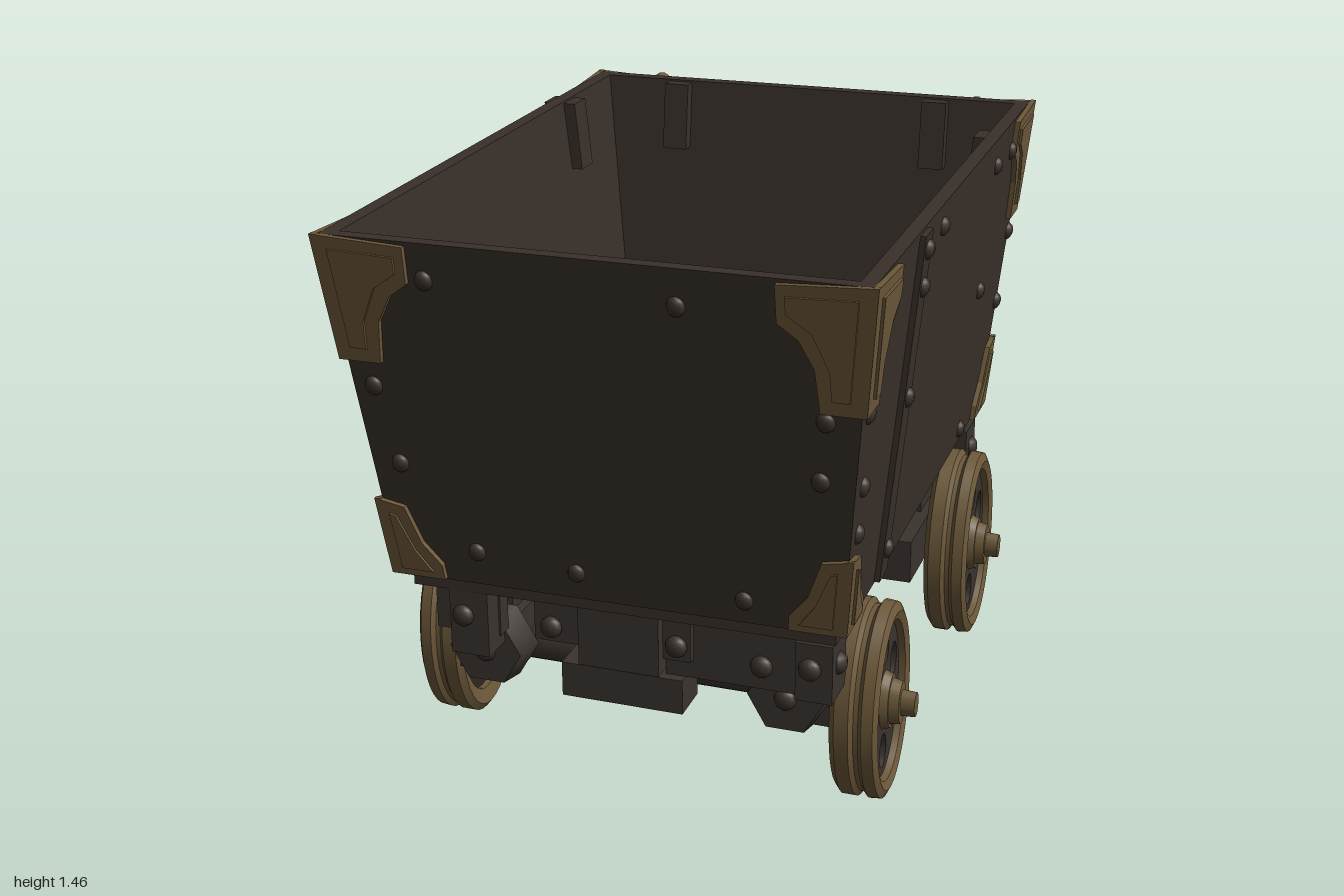
import * as THREE from 'three';
import { toCreasedNormals } from 'three/addons/utils/BufferGeometryUtils.js';

const mat = (name, color) => {
  const m = new THREE.MeshStandardMaterial({ color });
  m.name = name;
  return m;
};

export function createModel() {
  const root = new THREE.Group();
  root.name = 'mineCart';
  const iron = mat('binIron', 0x39302a);
  const frame = mat('chassisIron', 0x3b342f);
  const dark = mat('darkIron', 0x2c2621);
  const brass = mat('agedBrass', 0x6d593a);
  const dull = mat('dullBrass', 0x463a2b);

  const add = (name, geo, m, parent = root) => {
    const mesh = new THREE.Mesh(geo, m);
    mesh.name = name;
    parent.add(mesh);
    return mesh;
  };
  const box = (name, x0, x1, y0, y1, z0, z1, m = frame) => {
    const mesh = add(name, new THREE.BoxGeometry(x1 - x0, y1 - y0, z1 - z0), m);
    mesh.position.set((x0 + x1) / 2, (y0 + y1) / 2, (z0 + z1) / 2);
    return mesh;
  };

  // The bin sits slightly askew on the chassis
  const bin = new THREE.Group();
  bin.name = 'bin';
  bin.rotation.y = 0.012;
  bin.position.x = -0.006;
  root.add(bin);

  // Sloping walls: distance of each wall from the centre at height y
  const Y0 = 0.57, Y1 = 1.46;
  const slope = (a, b) => y => a + (b - a) * (y - Y0) / (Y1 - Y0);
  const sideX = slope(0.55, 0.637), frontZ = slope(0.84, 0.975), backZ = slope(0.68, 0.793);
  // Each wall: turn about y, its distance, and the corner lines at its -u and +u ends
  const walls = {
    front: { turn: 0, out: frontZ, lo: sideX, hi: sideX },
    back: { turn: Math.PI, out: backZ, lo: sideX, hi: sideX },
    left: { turn: Math.PI / 2, out: sideX, lo: frontZ, hi: backZ },
    right: { turn: -Math.PI / 2, out: sideX, lo: backZ, hi: frontZ },
  };
  // Lay a geometry given in (u, y, depth) onto a wall
  const onWall = (name, wall, geo, m) => {
    const p = geo.attributes.position;
    for (let i = 0; i < p.count; i++) p.setZ(i, p.getZ(i) + wall.out(p.getY(i)));
    geo.rotateY(wall.turn);
    geo.computeVertexNormals();
    add(name, geo, m, bin);
  };
  const plate = (name, wall, u, w, y0, y1, d0, d1) => {
    const g = new THREE.BoxGeometry(w, y1 - y0, d1 - d0);
    g.translate(u, (y0 + y1) / 2, (d0 + d1) / 2);
    onWall(name, wall, g, iron);
  };
  const rivet = (wall, u, y, d = 0) => {
    const g = new THREE.SphereGeometry(0.022, 10, 8);
    g.scale(1, 1.1, 0.75);
    g.translate(u, y, d);
    onWall('rivet', wall, g, iron);
  };

  // Bin shell: rectangular loops joined from outer foot, over the rim, to inner foot
  const loop = (y, x, zf, zb) => [[-x, y, zf], [x, y, zf], [x, y, -zb], [-x, y, -zb]];
  const loops = [
    loop(0.54, 0.53, 0.815, 0.665), loop(0.575, 0.53, 0.815, 0.665),
    loop(0.58, sideX(0.58), frontZ(0.58), backZ(0.58)), loop(Y1, sideX(Y1), frontZ(Y1), backZ(Y1)),
    loop(Y1, 0.6, 0.94, 0.755), loop(0.54, 0.495, 0.77, 0.645),
  ];
  const pos = [];
  loops.forEach((a, i) => {
    const b = loops[(i + 1) % loops.length];
    for (let k = 0; k < 4; k++) {
      const n = (k + 1) % 4;
      pos.push(...a[k], ...a[n], ...b[n], ...a[k], ...b[n], ...b[k]);
    }
  });
  const shell = new THREE.BufferGeometry();
  shell.setAttribute('position', new THREE.Float32BufferAttribute(pos, 3));
  shell.computeVertexNormals();
  add('binShell', shell, iron, bin);
  box('binFloor', -0.41, 0.41, 0.54, 0.565, -0.55, 0.58);
  // Worn brass-coloured patch on the floor
  box('wornPatch', 0.355, 0.405, 0.564, 0.567, 0.14, 0.27, brass);
  box('wornPatch', 0.38, 0.41, 0.564, 0.567, 0.27, 0.58, brass);

  // Corner brackets with a concave inner edge, at the ends of every wall
  const bracket = (wall, s, top) => {
    const edge = s > 0 ? wall.hi : wall.lo;
    const P = (inset, y) => [s * (edge(y) - inset), y];
    const pts = top
      ? [[-0.014, 1.462], [0.21, 1.45], [0.2, 1.36], [0.15, 1.325], [0.11, 1.26], [0.09, 1.155], [-0.014, 1.155]]
      : [[-0.014, 0.585], [0.125, 0.585], [0.125, 0.625], [0.085, 0.68], [0.06, 0.775], [-0.014, 0.79]];
    const trim = top
      ? [[0.025, 1.43], [0.185, 1.425], [0.18, 1.385], [0.12, 1.345], [0.075, 1.26], [0.065, 1.19], [0.025, 1.19]]
      : [[0.02, 0.605], [0.1, 0.605], [0.065, 0.66], [0.035, 0.75], [0.02, 0.755]];
    [[pts, 0.014, 'cornerBracket'], [trim, 0.021, 'bracketRib']].forEach(([list, depth, name]) => {
      const shape = new THREE.Shape(list.map(q => new THREE.Vector2(...P(...q))));
      onWall(name, wall, new THREE.ExtrudeGeometry(shape, { depth, bevelEnabled: false }), brass);
    });
  };
  for (const wall of Object.values(walls))
    for (const s of [-1, 1]) for (const top of [true, false]) bracket(wall, s, top);

  // Straps and rim clips
  plate('frontStrap', walls.left, -0.515, 0.075, 0.585, 1.45, -0.01, 0.014);
  plate('frontStrap', walls.right, 0.54, 0.07, 0.585, 1.45, -0.01, 0.014);
  plate('rearStrap', walls.right, -0.41, 0.07, 0.585, 1.45, -0.01, 0.014);
  plate('sideClip', walls.left, 0.4, 0.08, 1.27, 1.455, -0.07, -0.005);
  plate('sideClip', walls.right, -0.43, 0.08, 1.27, 1.455, -0.07, 0.02);
  for (const s of [-1, 1]) {
    plate('backStrap', walls.back, s * 0.4, 0.09, 0.56, 1.12, -0.01, 0.02);
    plate('backClip', walls.back, s * 0.38, 0.07, 1.27, 1.455, -0.075, 0.01);
    for (const y of [0.66, 0.85, 1.08]) rivet(walls.back, s * 0.4, y, 0.02);
  }

  // Rivets on the walls
  [[-0.39, 1.37], [0.2, 1.37], [-0.55, 1.09], [-0.51, 0.89], [-0.34, 0.67], [-0.09, 0.65], [0.32, 0.64],
    [0.51, 0.98], [0.525, 1.13]].forEach(([u, y]) => rivet(walls.front, u, y));
  [[0.2, 1.37], [-0.2, 1.37], [0.53, 1.09], [-0.53, 1.09], [0.5, 0.9], [-0.5, 0.9]]
    .forEach(([u, y]) => rivet(walls.back, u, y));
  [[0.78, 1.38], [0.29, 1.4], [-0.37, 1.38], [-0.58, 1.37], [-0.38, 1.03], [-0.39, 0.62], [0.87, 1.14], [0.83, 0.95],
    [0.82, 0.83], [-0.73, 1.1], [-0.7, 0.9]].forEach(([z, y]) => {
    rivet(walls.right, z, y);
    rivet(walls.left, -z, y);
  });
  for (const y of [0.66, 1.05, 1.32, 1.41]) {
    rivet(walls.right, 0.54, y, 0.014);
    rivet(walls.left, -0.515, y, 0.014);
  }

  // Push handle
  const rod = add('handleRod', new THREE.CylinderGeometry(0.028, 0.028, 0.97, 14), dull);
  rod.rotation.set(0, -0.015, Math.PI / 2, 'YXZ');
  rod.position.set(-0.045, 1.37, -0.95);
  for (const [x, z, foot] of [[-0.53, -0.957, -0.45], [0.44, -0.943, 0.36]]) {
    const knob = add('handleKnob', new THREE.SphereGeometry(0.05, 16, 12), brass);
    knob.scale.set(0.7, 1.2, 0.9);
    knob.position.set(x, 1.37, z);
    const cap = add('handleCap', new THREE.CylinderGeometry(0.03, 0.03, 0.1, 12), brass);
    cap.rotation.z = Math.PI / 2;
    cap.position.copy(knob.position);
    const path = new THREE.CatmullRomCurve3([[x, 1.36, z], [x * 0.97, 1.24, -0.94],
      [(x + foot) / 2, 1.14, -0.885], [foot, 1.09, -0.82], [foot, 1.08, -0.74]].map(p => new THREE.Vector3(...p)));
    add('handleArm', new THREE.TubeGeometry(path, 20, 0.022, 8), brass);
    const boss = add('handleBoss', new THREE.SphereGeometry(0.04, 12, 10), brass);
    boss.position.set(foot, 1.08, -0.765);
  }

  // Wheels: brass double rim, pierced disc, backing plate and hub, axis along local y
  const rimPts = [[0.2, 0.01], [0.24, 0], [0.26, 0.015], [0.26, 0.05], [0.246, 0.06], [0.246, 0.072], [0.26, 0.082],
    [0.257, 0.11], [0.235, 0.12], [0.212, 0.112], [0.203, 0.06], [0.2, 0.01]].map(p => new THREE.Vector2(...p));
  const rimGeo = toCreasedNormals(new THREE.LatheGeometry(rimPts, 40), 0.7);
  const disc = new THREE.Shape().absarc(0, 0, 0.21, 0, Math.PI * 2);
  for (let i = 0; i < 6; i++) {
    const a = i * Math.PI / 3;
    disc.holes.push(new THREE.Path().absarc(0.142 * Math.cos(a), 0.142 * Math.sin(a), 0.046, 0, Math.PI * 2, true));
  }
  const discGeo = new THREE.ExtrudeGeometry(disc, { depth: 0.04, bevelEnabled: false, curveSegments: 20 });
  discGeo.rotateX(-Math.PI / 2);
  const wheel = (name, s, z, y, size, squash) => {
    const g = new THREE.Group();
    g.name = name;
    add('rim', rimGeo, brass, g);
    add('disc', discGeo, frame, g).position.y = 0.055;
    add('backing', new THREE.CylinderGeometry(0.203, 0.203, 0.025, 32), dark, g).position.y = 0.04;
    [[0.078, 0.02, 0.105], [0.062, 0.03, 0.125], [0.036, 0.06, 0.145]].forEach(([r, h, at]) =>
      add('hub', new THREE.CylinderGeometry(r * 0.9, r, h, 20), brass, g).position.y = at);
    g.rotation.z = -s * Math.PI / 2;
    g.scale.set(size, 1, size * squash);
    g.position.set(s * 0.495, y, z);
    root.add(g);
  };
  wheel('frontLeftWheel', 1, 0.56, 0.28, 1, 0.66);
  wheel('frontRightWheel', -1, 0.485, 0.29, 1, 0.66);
  wheel('backLeftWheel', 1, -0.41, 0.275, 1.04, 0.69);
  wheel('backRightWheel', -1, -0.465, 0.285, 1.02, 0.7);

  // Axles with bearing boxes, hexagonal bosses and bolts
  const bolt = (x, y, z, axis) => {
    const b = add('bolt', new THREE.SphereGeometry(0.028, 10, 8), iron);
    b.scale[axis] = 0.75;
    b.position.set(x, y, z);
  };
  for (const [z, e, z0, z1, low, high] of [[0.52, 1, 0.27, 0.68, 0.25, 0.4], [-0.43, -1, -0.6, -0.12, 0.265, 0.385]]) {
    const axle = add('axle', new THREE.CylinderGeometry(0.058, 0.058, 1.04, 16), frame);
    axle.rotation.z = Math.PI / 2;
    axle.position.set(0, 0.282, z);
    for (const s of [-1, 1]) {
      const x = s * 0.41;
      box('bearingBox', x - 0.075, x + 0.075, low, high, z0, z1);
      box('bearingPost', x - 0.05, x + 0.05, 0.38, 0.53, z - 0.1, z + 0.1);
      const hex = add('hexBoss', new THREE.CylinderGeometry(0.095, 0.11, 0.08, 6), frame);
      hex.rotation.set(e * Math.PI / 2, Math.PI / 6, 0);
      hex.position.set(x * 0.95, 0.335, z + e * 0.17);
      bolt(x * 0.95, 0.335, z + e * 0.21, 'z');
    }
  }

  // End beams with coupling block, lower step and corner blocks
  for (const [z, e] of [[0.735, 1], [-0.605, -1]]) {
    const span = (name, x0, x1, y0, y1, a, b) =>
      box(name, x0, x1, y0, y1, Math.min(z + e * a, z + e * b), Math.max(z + e * a, z + e * b));
    span('endBeam', 0.1, 0.5, 0.37, 0.525, -0.02, 0.025);
    span('endBeam', -0.5, -0.33, 0.4, 0.525, -0.02, 0.025);
    span('crossBar', -0.5, 0.5, 0.542, 0.57, -0.025, 0.022);
    span('couplingPlate', -0.23, 0.17, 0.42, 0.525, -0.03, 0.045);
    span('couplingBlock', -0.105, 0.1, 0.385, 0.565, -0.04, 0.075);
    span('lowerStep', -0.16, 0.15, 0.28, 0.37, -0.06, 0.05);
    span('stepBracket', -0.08, 0.08, 0.35, 0.42, -0.04, 0.03);
    span('cornerBlock', -0.435, -0.335, 0.37, 0.54, -0.03, 0.085);
    span('cornerBlock', 0.44, 0.53, 0.39, 0.54, -0.03, 0.085);
    for (const [x, y, d] of [[-0.185, 0.46, 0.05], [0.135, 0.46, 0.05], [-0.4, 0.475, 0.087], [0.475, 0.475, 0.087],
      [0.34, 0.43, 0.027]]) bolt(x, y, z + e * d, 'z');
    for (const x of [-0.435, 0.53]) bolt(x, 0.475, z + e * 0.03, 'x');
  }

  // Side beams between the axles, dipping towards the back
  for (const s of [-1, 1]) {
    const x = s * 0.36;
    box('sideBeam', x - 0.035, x + 0.035, 0.392, 0.51, -0.5, 0.5).rotation.x = -0.045;
    for (const [z0, z1, y] of [[0.18, 0.31, 0.47], [-0.28, -0.13, 0.44]]) {
      box('beamClamp', x - 0.048, x + 0.048, y - 0.06, y + 0.055, z0, z1);
      bolt(x + s * 0.05, y, (z0 + z1) / 2, 'x');
    }
  }
  return root;
}
